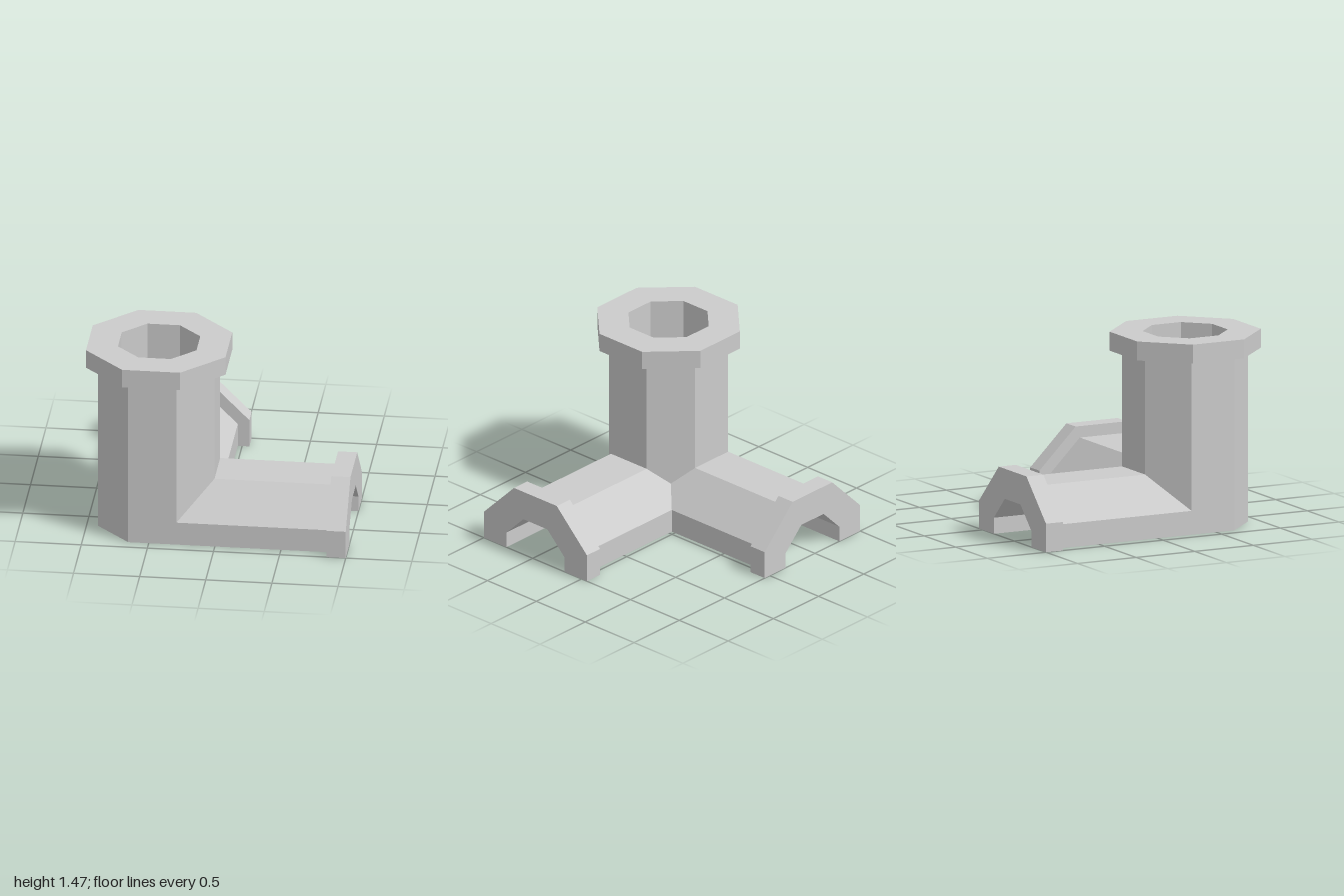
import * as THREE from 'three';

const C = 0.4725;              // offset of the point where the three pipe axes meet
const END = 1 + C;             // pipe length from that point, flange included
const COLLAR = END - 0.145;    // where each flange begins
const OUTER = 0.44, BORE = 0.297, FLANGE = 0.5275; // octagon apothems
const T = Math.tan(Math.PI / 8);

const material = new THREE.MeshStandardMaterial({ color: 0xcccccc, flatShading: true });

// Octagon outlines as [across, up, start]: start is where the wall meets the other pipes
function archOutline(R) {
  const h = R * T, m = (R + h) / 2;
  return [[R, 0, R], [R, h, R], [m, m, m], [h, R, R], [-h, R, R], [-R, h, h], [-R, 0, h]];
}
function fullOutline(R) {
  const h = R * T, m = (R + h) / 2;
  return [[R, -h, R], [R, h, R], [m, m, m], [h, R, R], [-h, R, R], [-R, h, h],
    [-R, h, 0], [-R, -h, 0], [-h, -R, 0], [h, -R, 0], [h, -R, h], [R, -h, R]];
}
const mirrored = (outline) => outline.map(([a, b, s]) => [-a, b, s]).reverse();

// Flat wall panels running along local z from each start point to the collar
function walls(outline, inward) {
  const pos = [];
  for (let i = 0; i < outline.length - 1; i++) {
    const [a, b, s] = outline[i], [c, d, t] = outline[i + 1];
    if (a === c && b === d) continue;
    const quad = [[a, b, s], [c, d, t], [c, d, COLLAR], [a, b, COLLAR]];
    if (inward) quad.reverse();
    for (const k of [0, 1, 2, 0, 2, 3]) pos.push(...quad[k]);
  }
  const g = new THREE.BufferGeometry();
  g.setAttribute('position', new THREE.Float32BufferAttribute(pos, 3));
  g.computeVertexNormals();
  return g;
}

const points = (list) => list.map(([a, b]) => new THREE.Vector2(a, b));

// Octagonal ring, or an arch when the pipe is cut in half
function flange(half) {
  const outline = half ? archOutline : fullOutline;
  const unique = (R) => outline(R).filter(([a, b], i, l) =>
    !l.slice(0, i).some((q) => q[0] === a && q[1] === b));
  let shape;
  if (half) {
    shape = new THREE.Shape(points([...unique(FLANGE), ...unique(BORE).reverse()]));
  } else {
    shape = new THREE.Shape(points(unique(FLANGE)));
    shape.holes.push(new THREE.Path(points(unique(BORE))));
  }
  const g = new THREE.ExtrudeGeometry(shape, { depth: END - COLLAR, bevelEnabled: false });
  return g.translate(0, 0, COLLAR);
}

function addMesh(parent, name, geometry) {
  const mesh = new THREE.Mesh(geometry, material);
  mesh.name = name;
  parent.add(mesh);
}

export function createModel() {
  const model = new THREE.Group();
  model.name = 'cornerPipeJoint';
  const V = (x, y, z) => new THREE.Vector3(x, y, z);

  // Three pipes: across, up and along directions of each
  const pipes = [
    { name: 'uprightPipe', axes: [V(1, 0, 0), V(0, 0, -1), V(0, 1, 0)], half: false },
    { name: 'leftHalfPipe', axes: [V(0, 0, -1), V(0, 1, 0), V(1, 0, 0)], half: true },
    { name: 'backHalfPipe', axes: [V(-1, 0, 0), V(0, 1, 0), V(0, 0, -1)], half: true, mirror: true },
  ];
  for (const { name, axes, half, mirror } of pipes) {
    const pipe = new THREE.Group();
    pipe.name = name;
    const outline = (R) => {
      const o = half ? archOutline(R) : fullOutline(R);
      return mirror ? mirrored(o) : o;
    };
    addMesh(pipe, 'outerWall', walls(outline(OUTER), false));
    addMesh(pipe, 'boreWall', walls(outline(BORE), true));
    addMesh(pipe, 'flange', flange(half));
    pipe.quaternion.setFromRotationMatrix(new THREE.Matrix4().makeBasis(...axes));
    pipe.position.set(-C, 0, C);
    model.add(pipe);
  }

  // Flat cut faces on the ground: outside corner and inside corner
  const O = OUTER, o = O * T, B = BORE, b = B * T, F = COLLAR;
  const cuts = {
    outsideCutFace: [[F, O], [-o, O], [-O, o], [-O, -F], [-B, -F], [-B, b], [-b, B], [F, B]],
    insideCutFace: [[F, -B], [B, -B], [B, -F], [O, -F], [O, -O], [F, -O]],
  };
  for (const [name, list] of Object.entries(cuts)) {
    const g = new THREE.ShapeGeometry(new THREE.Shape(points(list)));
    addMesh(model, name, g.rotateX(Math.PI / 2).translate(-C, 0, C));
  }
  return model;
}
